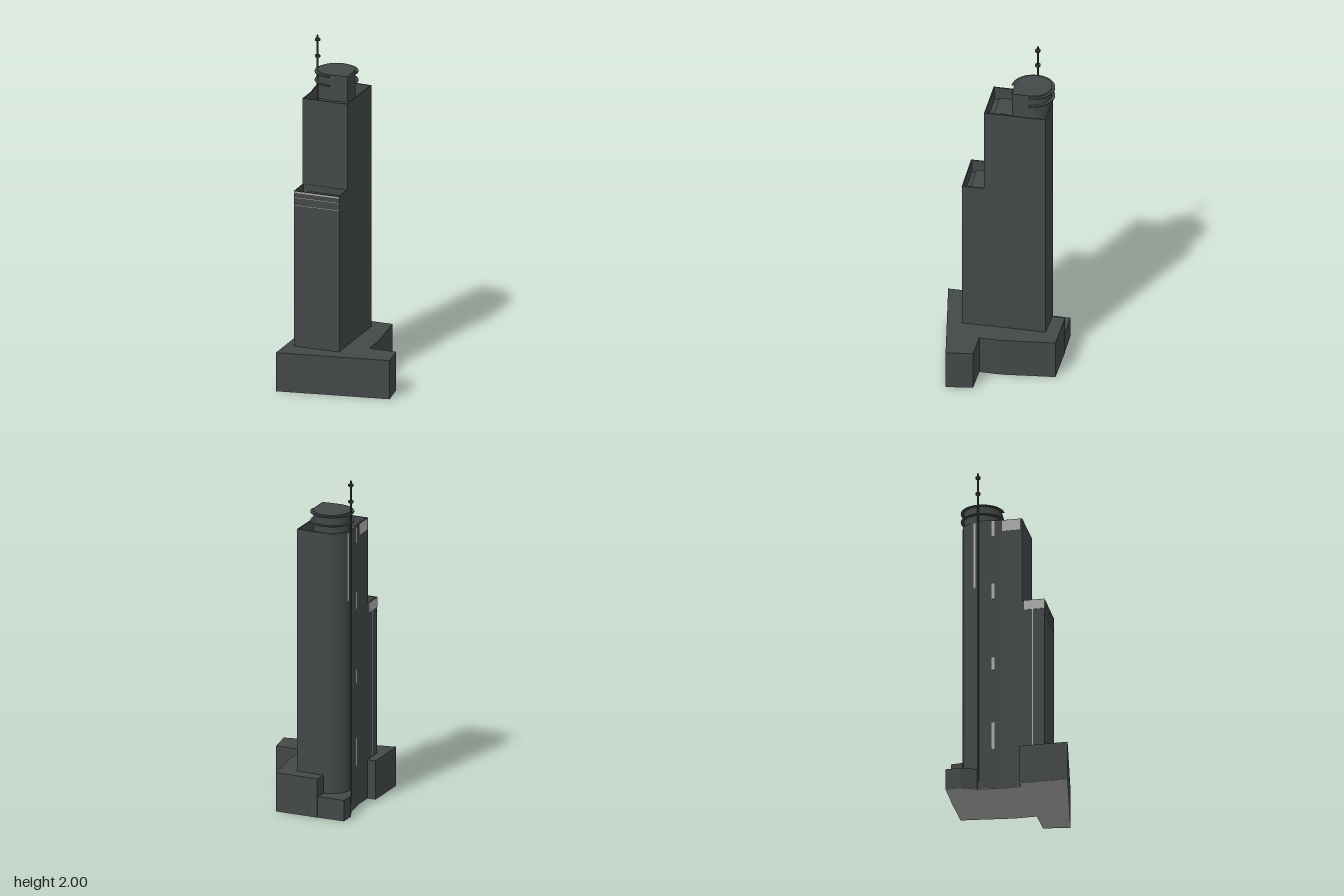
import * as THREE from 'three';

function flat(name, color) {
  const m = new THREE.MeshStandardMaterial({ color, flatShading: true });
  m.name = name;
  return m;
}
const slate = flat('dark slate', 0x434848);
const pale = flat('light grey', 0xadabab);

// Centre of the rounded back corner and crown, in plan (x, z)
const CX = -0.18, CZ = -0.166;

// Plan points along an arc, angles in degrees
function arc(r, a0, a1, n) {
  const pts = [];
  for (let i = 0; i <= n; i++) {
    const a = THREE.MathUtils.degToRad(a0 + (a1 - a0) * i / n);
    pts.push([CX + r * Math.cos(a), CZ + r * Math.sin(a)]);
  }
  return pts;
}

const toPlan = pts => pts.map(([x, z]) => new THREE.Vector2(x, -z));

// Vertical prism over a plan outline, with an optional hole
function prism(name, pts, y0, y1, material = slate, hole = null) {
  const shape = new THREE.Shape(toPlan(pts));
  // The hole runs the other way round, so its walls face inwards
  if (hole) shape.holes.push(new THREE.Path(toPlan(hole).reverse()));
  const geo = new THREE.ExtrudeGeometry(shape, { depth: y1 - y0, bevelEnabled: false });
  geo.rotateX(-Math.PI / 2).translate(0, y0, 0);
  const mesh = new THREE.Mesh(geo, material);
  mesh.name = name;
  return mesh;
}

// Outline shrunk towards its middle, for the inside of a parapet
function shrink(pts, cx, cz, kx, kz) {
  return pts.map(([x, z]) => [cx + (x - cx) * kx, cz + (z - cz) * kz]);
}

// Thin pale plate on the wall a-b, from fraction s to t, standing out by (dx, dz)
function plate(name, [a, b], [s, t], [dx, dz], y0, y1) {
  const at = k => [a[0] + (b[0] - a[0]) * k, a[1] + (b[1] - a[1]) * k];
  const [p, q] = [at(s), at(t)];
  return prism(name, [p, q, [q[0] + dx, q[1] + dz], [p[0] + dx, p[1] + dz]], y0, y1, pale);
}

export function createModel() {
  const model = new THREE.Group();
  model.name = 'skyscraper';

  // Plan outlines: podium, low back block, tall tower with one rounded corner, front tower
  const podium = [
    [-0.19, -0.355], [0.072, -0.378], [0.14, -0.07], [0.151, 0.056], [0.317, 0.042],
    [0.357, 0.195], [-0.285, 0.378], [-0.313, 0.097], [-0.263, 0.092], [-0.19, 0.06]
  ];
  const lowPodium = [
    [-0.357, -0.335], [-0.19, -0.353], [-0.19, -0.16], [-0.305, -0.16], [-0.35, -0.245]
  ];
  const tower = [
    [-0.018, -0.29], [0.016, 0.069], [-0.262, 0.097], [-0.273, -0.02], [-0.301, -0.14],
    ...arc(0.115, 180, 265, 8)
  ];
  const front = [[-0.262, 0.094], [0.018, 0.068], [0.031, 0.197], [-0.247, 0.228]];

  // Base, with a pale underside
  const floor = 0.002;
  model.add(prism('podium', podium, floor, 0.235));
  model.add(prism('lowPodium', lowPodium, floor, 0.127));
  for (const outline of [podium, lowPodium, tower]) {
    model.add(prism('underside', outline, 0, floor, pale));
  }

  // Tall tower: sunken roof, parapet and penthouse
  model.add(prism('tower', tower, floor, 1.62));
  model.add(prism('towerParapet', tower, 1.62, 1.7, slate, shrink(tower, -0.14, -0.1, 0.95, 0.96)));
  model.add(prism('towerPenthouse', [
    [-0.235, -0.06], [-0.04, -0.078], [-0.028, 0.03], [-0.225, 0.05]
  ], 1.61, 1.655));
  model.add(prism('roofHatch', [
    [-0.055, -0.053], [-0.038, -0.055], [-0.033, -0.01], [-0.05, -0.006]
  ], 1.65, 1.67));

  // Shorter front tower
  model.add(prism('frontTower', front, floor, 1.1));
  model.add(prism('frontParapet', front, 1.1, 1.18, slate, shrink(front, -0.117, 0.145, 0.955, 0.92)));
  model.add(prism('frontPenthouse', [
    [-0.222, 0.098], [-0.022, 0.077], [-0.012, 0.163], [-0.212, 0.185]
  ], 1.09, 1.14));

  // Pale trim: lines across the front, patches and narrow strips on the side walls
  const frontWall = [front[3], front[2]], frontSide = [front[0], front[3]];
  const towerSide = [tower[3], tower[2]], towerSlant = [tower[4], tower[3]];
  const out = 0.0015;
  for (const [y, h] of [[1.168, 0.009], [1.138, 0.003], [1.092, 0.003]]) {
    model.add(plate('frontTrim', frontWall, [0, 1], [0, out], y, y + h));
  }
  model.add(plate('sidePatch', frontSide, [0.1, 1], [-out, 0], 1.12, 1.177));
  model.add(plate('sideStrip', frontSide, [0.45, 0.5], [-out, 0], 0.24, 1.12));
  model.add(plate('towerPatch', towerSide, [0, 0.9], [-out, 0], 1.63, 1.697));
  for (const [y0, y1] of [[0.25, 0.42], [0.75, 0.83], [1.2, 1.3], [1.6, 1.695]]) {
    model.add(plate('towerStrip', towerSlant, [0.5, 0.65], [-out, 0], y0, y1));
  }
  model.add(plate('cornerStrip', arc(0.1145, 184, 190, 1), [0, 1], [-out, 0], 1.28, 1.69));

  // Crown: round at the back, square at the front corner, with two thin ledges
  model.add(prism('crown', [...arc(0.109, -5, -277, 24), [-0.062, -0.076]], 1.61, 1.81));
  for (const y of [1.743, 1.797]) {
    model.add(prism('crownLedge', [...arc(0.126, -5, -277, 24), ...arc(0.106, -277, -5, 24)], y, y + 0.005));
  }

  // Mast running up the side, with two collars
  const mast = new THREE.Group();
  mast.name = 'mast';
  mast.position.set(-0.299, 0, -0.157);
  const rod = (name, r, y0, y1) => {
    const mesh = new THREE.Mesh(new THREE.CylinderGeometry(r, r, y1 - y0, 10), slate);
    mesh.name = name;
    mesh.position.y = (y0 + y1) / 2;
    mast.add(mesh);
  };
  rod('pole', 0.006, 0.05, 2);
  rod('lowerCollar', 0.016, 1.868, 1.88);
  rod('upperCollar', 0.016, 1.968, 1.98);
  model.add(mast);

  return model;
}
